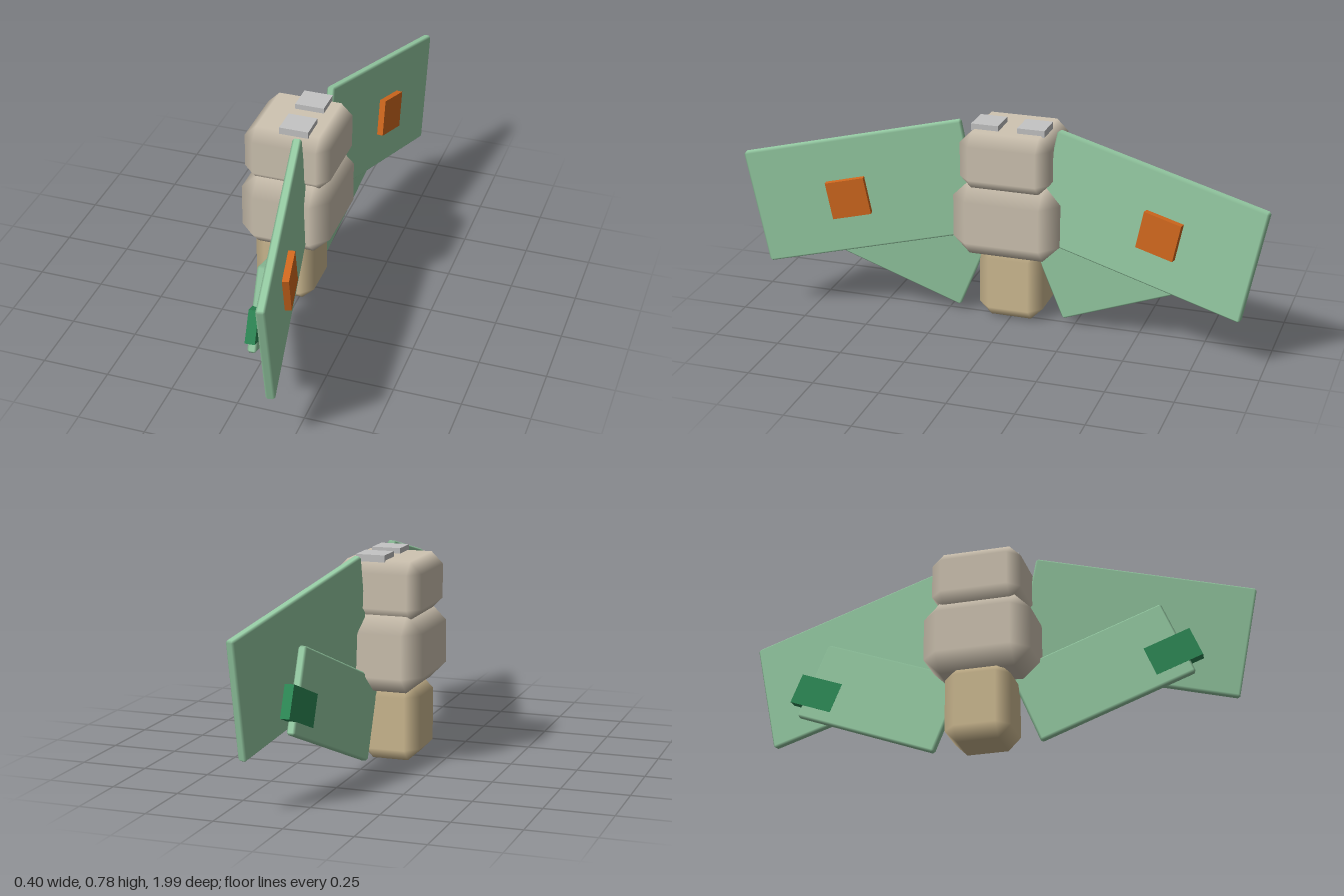
import * as THREE from 'three';
import { ConvexGeometry } from 'three/addons/geometries/ConvexGeometry.js';

const paint = (name, color) => {
  const m = new THREE.MeshStandardMaterial({ color });
  m.name = name;
  return m;
};

// Box with a single chamfer on every edge; flat faces blend softly over the chamfers
function chamferBox(w, h, d, b) {
  const half = [w / 2, h / 2, d / 2];
  const points = [];
  for (let axis = 0; axis < 3; axis++)
    for (const sx of [-1, 1]) for (const sy of [-1, 1]) for (const sz of [-1, 1]) {
      const s = [sx, sy, sz];
      points.push(new THREE.Vector3(...half.map((v, i) => s[i] * (i === axis ? v : v - b))));
    }
  const geo = new ConvexGeometry(points);
  const pos = geo.attributes.position;
  const normal = geo.attributes.normal;
  for (let i = 0; i < pos.count; i++) {
    const p = [pos.getX(i), pos.getY(i), pos.getZ(i)];
    normal.setXYZ(i, ...p.map((v, k) => (Math.abs(v) > half[k] - b * 0.5 ? Math.sign(v) : 0)));
  }
  return geo;
}

export function createModel() {
  const cream = paint('cream', 0xcfc4b2);
  const tan = paint('tan', 0xd0bc93);
  const leaf = paint('leafGreen', 0x96cca4);
  const deep = paint('deepGreen', 0x2e8b57);
  const orange = paint('orange', 0xd2691e);
  const silver = paint('silver', 0xc4c4c4);

  const model = new THREE.Group();
  model.name = 'wingedInsect';

  const add = (parent, name, geo, material, x, y, z) => {
    const mesh = new THREE.Mesh(geo, material);
    mesh.name = name;
    mesh.position.set(x, y, z);
    parent.add(mesh);
    return mesh;
  };

  // Body segments
  add(model, 'abdomen', chamferBox(0.23, 0.294, 0.25, 0.047), tan, -0.056, 0.147, 0);
  add(model, 'thorax', chamferBox(0.342, 0.288, 0.41, 0.063), cream, -0.03, 0.416, 0);
  add(model, 'head', chamferBox(0.328, 0.217, 0.344, 0.044), cream, -0.027, 0.6485, 0);

  // Turn a plate so its length rises by `rise` and leans toward +x by `lean` (degrees)
  const turn = (mesh, rise, lean) => {
    const a = THREE.MathUtils.degToRad(rise);
    const t = THREE.MathUtils.degToRad(lean);
    const out = new THREE.Vector3(Math.sin(t), Math.cos(t) * Math.sin(a), Math.cos(t) * Math.cos(a));
    const up = new THREE.Vector3(0, Math.cos(a), -Math.sin(a));
    const face = new THREE.Vector3().crossVectors(up, out);
    mesh.quaternion.setFromRotationMatrix(new THREE.Matrix4().makeBasis(face, up, out));
  };

  // Wings, markings and eyes, mirrored front to back
  for (const side of [1, -1]) {
    const half = new THREE.Group();
    half.name = side > 0 ? 'frontWings' : 'backWings';
    half.scale.z = side;
    model.add(half);

    const upper = add(half, 'upperWing', chamferBox(0.033, 0.44, 0.84, 0.008), leaf, 0.107, 0.4825, 0.5485);
    const spot = add(half, 'upperWingSpot', new THREE.BoxGeometry(0.03, 0.143, 0.148), orange, 0.143, 0.4625, 0.5975);
    for (const m of [upper, spot]) turn(m, -11.5, 10.4);

    const lower = add(half, 'lowerWing', chamferBox(0.033, 0.31, 0.617, 0.008), leaf, 0.033, 0.2805, 0.429);
    const tip = add(half, 'lowerWingTip', new THREE.BoxGeometry(0.036, 0.12, 0.185), deep, 0.061, 0.337, 0.693);
    for (const m of [lower, tip]) turn(m, 22.5, 5.8);

    add(half, 'eye', new THREE.BoxGeometry(0.11, 0.026, 0.104), silver, 0.001, 0.764, 0.088);
  }
  return model;
}
